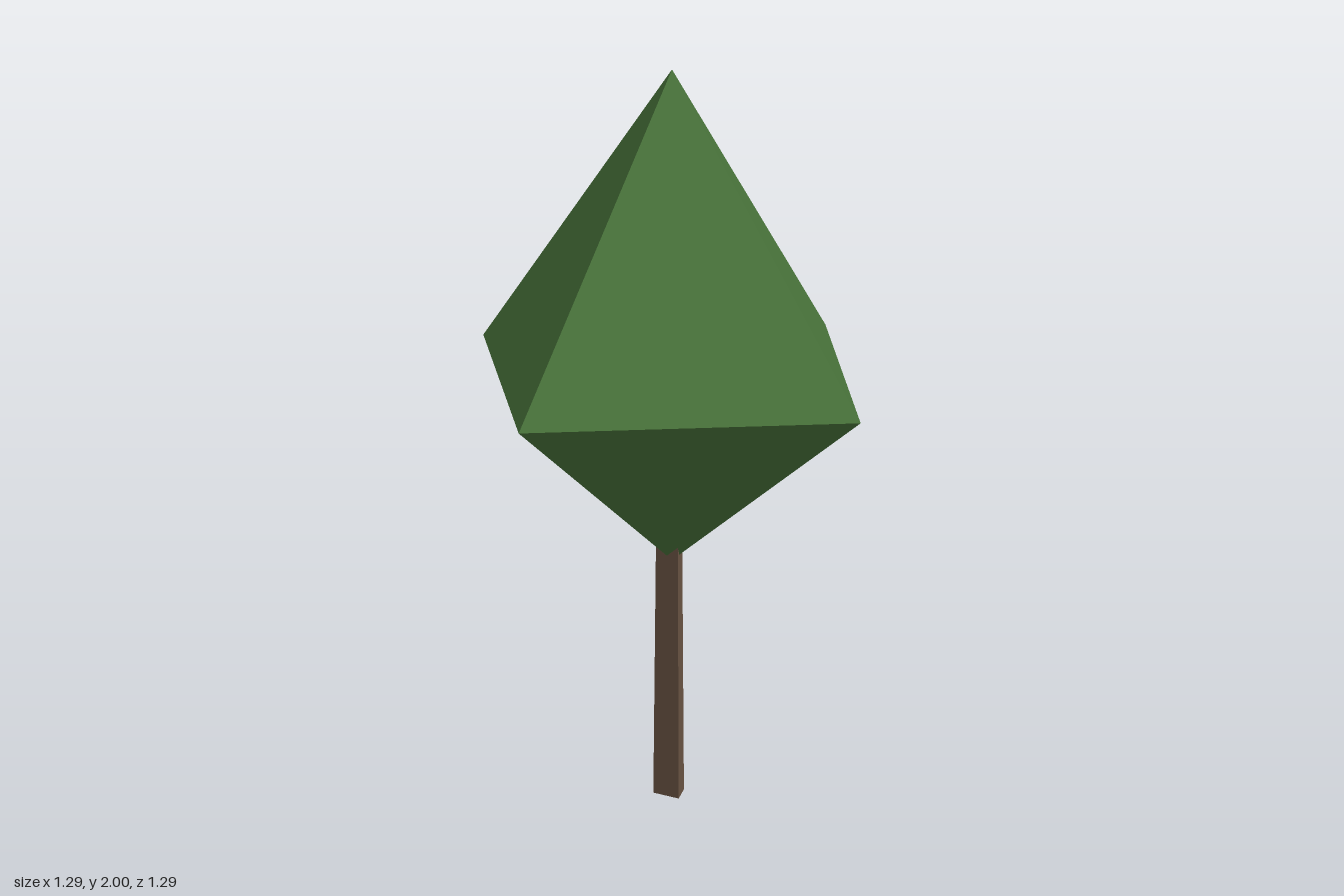
import * as THREE from 'three';

export function createModel() {
  const tree = new THREE.Group();
  tree.name = 'tree';

  const leafGreen = new THREE.MeshStandardMaterial({ color: 0x49743b, flatShading: true });
  leafGreen.name = 'leafGreen';
  const barkBrown = new THREE.MeshStandardMaterial({ color: 0x6a5443, flatShading: true });
  barkBrown.name = 'barkBrown';

  // Crown: four-sided double pyramid with its corners on the x and z axes
  const profile = [[0, 0.645], [0.643, 1.145], [0, 2]].map(([r, y]) => new THREE.Vector2(r, y));
  const crown = new THREE.Mesh(new THREE.LatheGeometry(profile, 4), leafGreen);
  crown.name = 'crown';
  tree.add(crown);

  // Trunk: tapered three-sided post with one edge towards +x, its top hidden in the crown
  const height = 0.69;
  const trunk = new THREE.Mesh(
    new THREE.CylinderGeometry(0.043, 0.05, height, 3, 1, false, Math.PI / 2),
    barkBrown
  );
  trunk.position.y = height / 2;
  trunk.name = 'trunk';
  tree.add(trunk);

  return tree;
}
